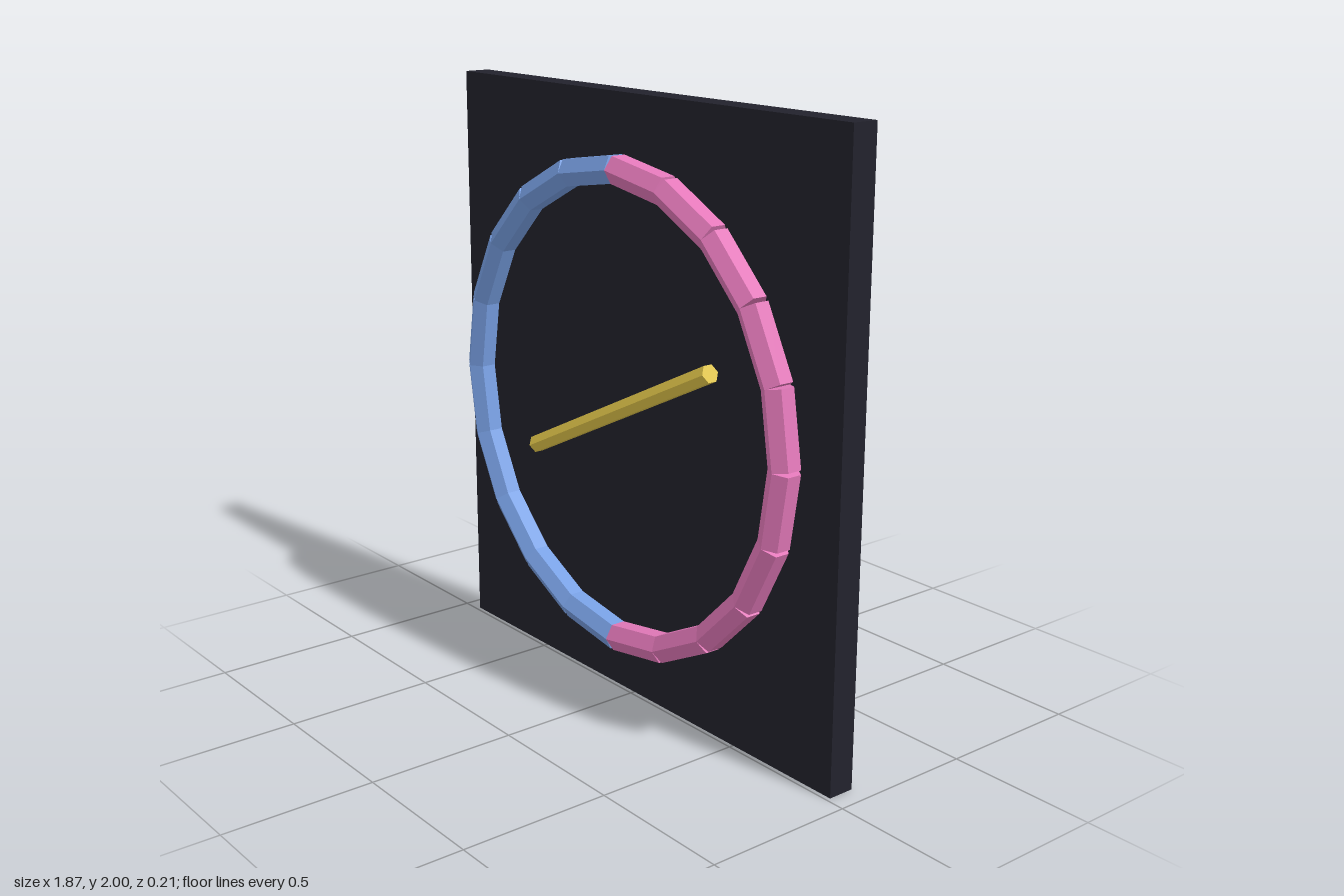
import * as THREE from 'three';

const panelMat = new THREE.MeshStandardMaterial({ color: 0x22222c });
const blueMat = new THREE.MeshStandardMaterial({ color: 0x78a0e4 });
const pinkMat = new THREE.MeshStandardMaterial({ color: 0xe479ba });
const yellowMat = new THREE.MeshStandardMaterial({ color: 0xe4c84a });

// Faceted six-sided rod between two points, with a ridge facing the front
function rod(name, a, b, radius, material) {
  const dir = b.clone().sub(a);
  const geo = new THREE.CylinderGeometry(radius, radius, dir.length(), 6).toNonIndexed();
  geo.computeVertexNormals();
  const mesh = new THREE.Mesh(geo, material);
  mesh.name = name;
  mesh.position.copy(a).add(b).multiplyScalar(0.5);
  mesh.rotation.z = Math.atan2(dir.y, dir.x) - Math.PI / 2;
  return mesh;
}

export function createModel() {
  const model = new THREE.Group();
  model.name = 'ringPanel';

  // Back panel
  const panel = new THREE.Mesh(new THREE.BoxGeometry(1.868, 2, 0.09), panelMat);
  panel.name = 'backPanel';
  panel.position.set(0, 1, -0.06);
  model.add(panel);

  // Ring of straight rods: pink on the model's left half, blue on its right
  const segments = 20, ringRadius = 0.775, z = 0.055;
  const pinkHalf = new THREE.Group();
  pinkHalf.name = 'pinkHalfRing';
  const blueHalf = new THREE.Group();
  blueHalf.name = 'blueHalfRing';
  const ringPoint = (i) => {
    const t = -Math.PI / 2 + (i / segments) * Math.PI * 2;
    return new THREE.Vector3(ringRadius * Math.cos(t), 1 + ringRadius * Math.sin(t), z);
  };
  for (let i = 0; i < segments; i++) {
    const pink = i < segments / 2;
    (pink ? pinkHalf : blueHalf).add(
      rod('ringSegment', ringPoint(i), ringPoint(i + 1), 0.05, pink ? pinkMat : blueMat));
  }
  model.add(pinkHalf, blueHalf);

  // Slanted bar in the middle
  model.add(rod('slantedBar', new THREE.Vector3(-0.447, 0.782, z),
    new THREE.Vector3(0.447, 1.218, z), 0.031, yellowMat));

  return model;
}
